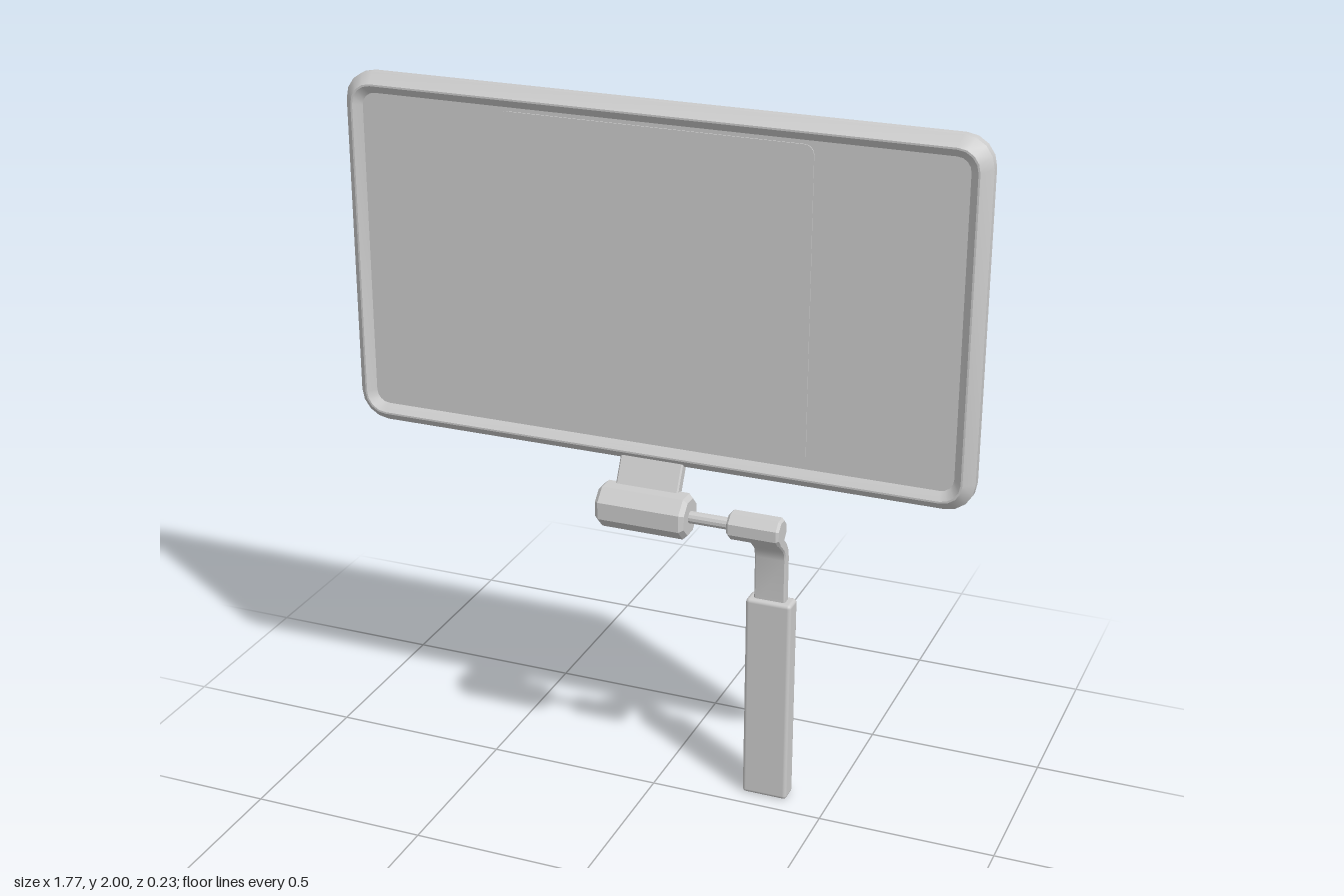
import * as THREE from 'three';
import { toCreasedNormals } from 'three/addons/utils/BufferGeometryUtils.js';
import { RoundedBoxGeometry } from 'three/addons/geometries/RoundedBoxGeometry.js';

const W = 0.887, H = 0.4975, MID_Y = 1.5025; // half width, half height, centre of the panel
const grey = new THREE.MeshStandardMaterial({ color: 0xcccccc, side: THREE.DoubleSide });
const pale = new THREE.MeshStandardMaterial({ color: 0xf0f0f0 });

function mesh(name, geometry, material = grey) {
  const m = new THREE.Mesh(geometry, material);
  m.name = name;
  return m;
}

// Counter-clockwise rounded rectangle outline
function outline(hw, hh, r, steps = 4) {
  const pts = [];
  [[1, 1], [-1, 1], [-1, -1], [1, -1]].forEach(([sx, sy], q) => {
    for (let i = 0; i <= steps; i++) {
      const a = (q + i / steps) * Math.PI / 2;
      pts.push(new THREE.Vector2(sx * (hw - r) + r * Math.cos(a), sy * (hh - r) + r * Math.sin(a)));
    }
  });
  return pts;
}

// Flat rounded plate between two depths
function plate(hw, hh, r, z0, z1) {
  const g = new THREE.ExtrudeGeometry(new THREE.Shape(outline(hw, hh, r)), { depth: z1 - z0, bevelEnabled: false });
  return g.translate(0, MID_Y, z0);
}

// Ring swept around the panel; profile is [inset, z] going from back to front and round again
function frame(profile) {
  const pos = [], idx = [];
  const loops = profile.map(([d]) => outline(W - d, H - d, 0.08 - d * 0.8));
  const n = loops[0].length, k = profile.length;
  loops.forEach((loop, j) => loop.forEach(p => pos.push(p.x, p.y + MID_Y, profile[j][1])));
  for (let j = 0; j < k; j++) {
    for (let i = 0; i < n; i++) {
      const a = j * n + i, b = j * n + (i + 1) % n;
      const c = ((j + 1) % k) * n + i, d = ((j + 1) % k) * n + (i + 1) % n;
      idx.push(a, b, d, a, d, c);
    }
  }
  const g = new THREE.BufferGeometry();
  g.setAttribute('position', new THREE.Float32BufferAttribute(pos, 3));
  g.setIndex(idx);
  return toCreasedNormals(g, 0.5);
}

// Chamfered barrel lying along x
function barrel(x0, x1, r, c, sides) {
  const pts = [[0, x0], [r - c, x0], [r, x0 + c], [r, x1 - c], [r - c, x1], [0, x1]];
  const g = new THREE.LatheGeometry(pts.map(p => new THREE.Vector2(...p)), sides, Math.PI / sides);
  g.rotateZ(-Math.PI / 2).translate(0, 0.888, 0.055);
  return toCreasedNormals(g, 0.5);
}

// Strap of constant thickness following a [z, y] path, extruded across x
function strap(path, t, x0, x1) {
  const p = path.map(q => new THREE.Vector2(...q));
  const side = s => p.map((q, i) => {
    const d0 = q.clone().sub(p[Math.max(i - 1, 0)]).normalize();
    const d1 = p[Math.min(i + 1, p.length - 1)].clone().sub(q).normalize();
    const d = d0.add(d1).normalize();
    return new THREE.Vector2(q.x - d.y * s * t / 2, q.y + d.x * s * t / 2);
  });
  const shape = new THREE.Shape([...side(1), ...side(-1).reverse()]);
  const b = 0.004;
  const g = new THREE.ExtrudeGeometry(shape, {
    depth: x1 - x0 - 2 * b, bevelThickness: b, bevelSize: b, bevelOffset: -b, bevelSegments: 1,
  });
  return toCreasedNormals(g.rotateY(-Math.PI / 2).translate(x1 - b, 0, 0), 0.5);
}

export function createModel() {
  const model = new THREE.Group();
  model.name = 'adjustablePanel';

  // Panel with chamfered frame, open at the back
  const panel = new THREE.Group();
  panel.name = 'panel';
  panel.add(
    mesh('frame', frame([
      [0.006, -0.03], [0, -0.026], [0, -0.003], [0.027, 0.027],
      [0.032, 0.027], [0.054, 0.008], [0.054, -0.008], [0.014, -0.03],
    ])),
    mesh('backing', plate(W - 0.05, H - 0.05, 0.04, -0.006, 0.008)),
    mesh('centrePlate', plate(0.433, 0.433, 0.025, 0.006, 0.011), pale),
  );
  model.add(panel);

  // Hinge: neck, large barrel, thin axle, small barrel
  const hinge = new THREE.Group();
  hinge.name = 'hinge';
  hinge.add(
    mesh('neck', strap([[0.055, 0.89], [-0.021, 1.042]], 0.032, -0.093, 0.088)),
    mesh('mainBarrel', barrel(-0.13, 0.128, 0.063, 0.012, 8)),
    mesh('axle', barrel(0.1, 0.26, 0.017, 0.002, 12)),
    mesh('armBarrel', barrel(0.242, 0.39, 0.04, 0.007, 8)),
  );
  model.add(hinge);

  // Bent arm and handle
  model.add(mesh('arm', strap(
    [[0.05, 0.885], [-0.06, 0.79], [-0.074, 0.772], [-0.081, 0.745], [-0.081, 0.59]], 0.03, 0.27, 0.36)));
  const handle = new RoundedBoxGeometry(0.132, 0.616, 0.06, 2, 0.011);
  model.add(mesh('handle', handle.translate(0.316, 0.308, -0.082)));

  return model;
}
